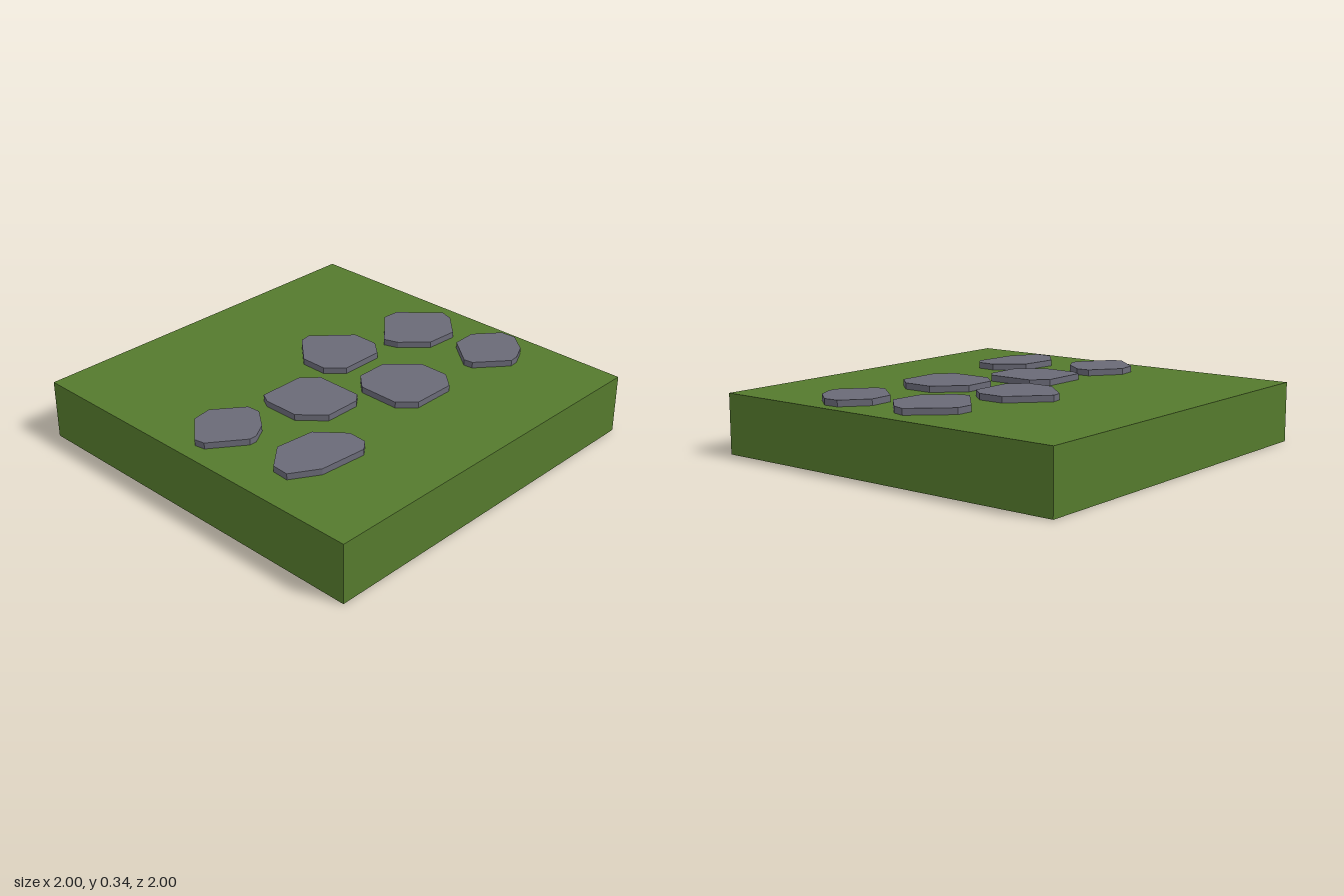
import * as THREE from 'three';

const BASE_HEIGHT = 0.31;
const STONE_TOP = 0.342;

// Outline of each stepping stone as [x, z] corners
const STONES = [
  [[-0.07, -0.9], [0, -0.88], [0.12, -0.76], [0.11, -0.59], [-0.01, -0.47], [-0.085, -0.445], [-0.26, -0.64], [-0.255, -0.73]],
  [[0.31, -0.935], [0.39, -0.94], [0.49, -0.86], [0.535, -0.77], [0.54, -0.72], [0.41, -0.565], [0.36, -0.56], [0.21, -0.68], [0.205, -0.81]],
  [[-0.23, -0.38], [-0.09, -0.38], [-0.01, -0.31], [-0.01, -0.08], [-0.095, 0], [-0.235, 0], [-0.39, -0.14], [-0.4, -0.2]],
  [[0.235, -0.375], [0.395, -0.375], [0.48, -0.3], [0.48, -0.07], [0.4, 0.01], [0.18, 0.01], [0.095, -0.07], [0.095, -0.24]],
  [[-0.035, 0.08], [0.215, 0.08], [0.255, 0.13], [0.255, 0.32], [0.135, 0.43], [-0.055, 0.43], [-0.11, 0.4], [-0.11, 0.155]],
  [[-0.08, 0.53], [-0.01, 0.525], [0.095, 0.605], [0.145, 0.69], [0.145, 0.73], [0.02, 0.9], [-0.035, 0.91], [-0.18, 0.785], [-0.195, 0.68]],
  [[0.44, 0.37], [0.54, 0.375], [0.585, 0.43], [0.565, 0.68], [0.48, 0.82], [0.39, 0.815], [0.285, 0.69], [0.305, 0.485]],
];

// Flat slab extruded upwards from an [x, z] outline
function stoneGeometry(outline) {
  const shape = new THREE.Shape(outline.map(([x, z]) => new THREE.Vector2(x, -z)));
  const geometry = new THREE.ExtrudeGeometry(shape, { depth: STONE_TOP - BASE_HEIGHT, bevelEnabled: false });
  return geometry.rotateX(-Math.PI / 2).translate(0, BASE_HEIGHT, 0);
}

export function createModel() {
  const grass = new THREE.MeshStandardMaterial({ color: 0x557a2d });
  grass.name = 'grass green';
  const stone = new THREE.MeshStandardMaterial({ color: 0x6a6a77 });
  stone.name = 'stone grey';

  const group = new THREE.Group();
  group.name = 'stonePathTile';

  // Grass block
  const ground = new THREE.Mesh(new THREE.BoxGeometry(2, BASE_HEIGHT, 2), grass);
  ground.name = 'grassBlock';
  ground.position.y = BASE_HEIGHT / 2;
  group.add(ground);

  // Stepping stones
  STONES.forEach((outline, i) => {
    const mesh = new THREE.Mesh(stoneGeometry(outline), stone);
    mesh.name = `steppingStone${i + 1}`;
    group.add(mesh);
  });

  return group;
}
